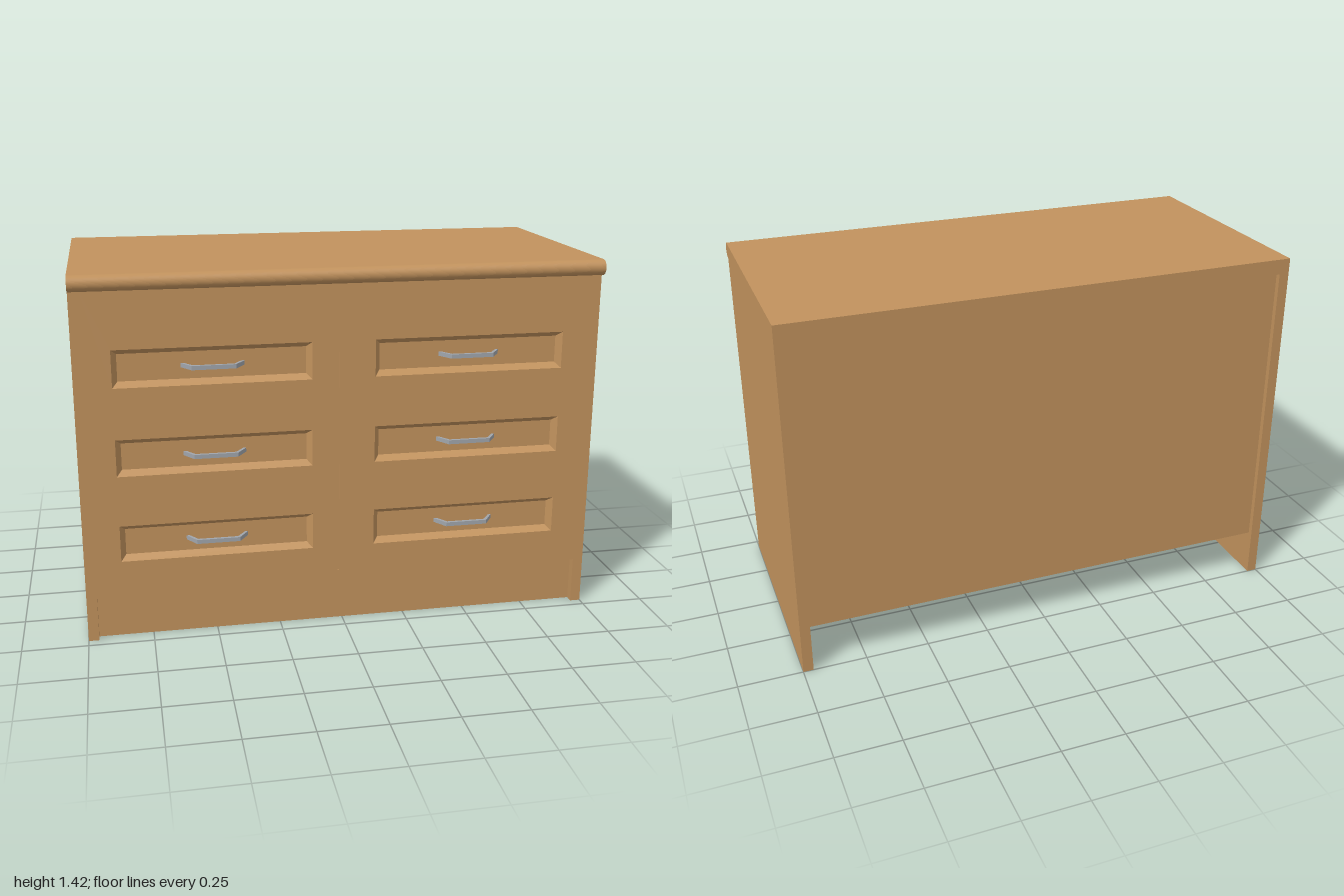
import * as THREE from 'three';

const FRONT = 0.462, BACK = -0.5, TOP = 1.42, SLAB = 0.06, SIDE = 0.04, WELL = 0.025;

export function createModel() {
  const model = new THREE.Group();
  model.name = 'chestOfDrawers';
  const wood = new THREE.MeshStandardMaterial({ color: 0xc1925d, side: THREE.DoubleSide });
  wood.name = 'wood';
  const metal = new THREE.MeshStandardMaterial({ color: 0xa0a5ab });
  metal.name = 'brushedMetal';

  const add = (name, geometry, material = wood, parent = model) => {
    const mesh = new THREE.Mesh(geometry, material);
    mesh.name = name;
    parent.add(mesh);
    return mesh;
  };
  // Box given by its extents
  const box = (name, x0, x1, y0, y1, z0, z1) => {
    const mesh = add(name, new THREE.BoxGeometry(x1 - x0, y1 - y0, z1 - z0));
    mesh.position.set((x0 + x1) / 2, (y0 + y1) / 2, (z0 + z1) / 2);
    return mesh;
  };
  // Hollow board without an underside
  const openBox = (...args) => {
    const g = box(...args).geometry;
    g.setIndex([...g.index.array].filter((_, i) => i < 18 || i >= 24));
    g.clearGroups();
  };
  const rectPath = (x0, x1, y0, y1) => new THREE.Path([
    new THREE.Vector2(x0, y0), new THREE.Vector2(x0, y1),
    new THREE.Vector2(x1, y1), new THREE.Vector2(x1, y0),
  ]);

  // Worktop with a rounded front edge; the profile is drawn in (z, y)
  const r = SLAB / 2;
  const profile = new THREE.Shape();
  profile.moveTo(BACK, TOP - SLAB);
  profile.lineTo(0.5 - r, TOP - SLAB);
  profile.absarc(0.5 - r, TOP - r, r, -Math.PI / 2, Math.PI / 2, false);
  profile.lineTo(BACK, TOP);
  const slab = new THREE.ExtrudeGeometry(profile, { depth: 2, bevelEnabled: false, curveSegments: 12 });
  slab.rotateY(-Math.PI / 2).translate(1, 0, 0);
  add('worktop', slab);

  // Carcass
  const inner = 1 - SIDE;
  openBox('leftSide', inner, 1, 0, TOP - SLAB, BACK, FRONT);
  openBox('rightSide', -1, -inner, 0, TOP - SLAB, BACK, FRONT);
  openBox('plinth', -inner, inner, 0, 0.205, 0.405, 0.43);
  box('backPanel', -inner, inner, 0.185, TOP - SLAB, BACK + 0.02, BACK + 0.035);
  box('floor', -inner, inner, 0.205, 0.22, BACK + 0.035, FRONT - 0.015);
  box('seamBacking', -0.04, 0, 0.215, 1.25, FRONT - 0.012, FRONT - 0.003);

  // Front panel with drawer openings and a shallow central seam
  const panel = new THREE.Shape([
    new THREE.Vector2(-inner, 0.185), new THREE.Vector2(inner, 0.185),
    new THREE.Vector2(inner, TOP - SLAB), new THREE.Vector2(-inner, TOP - SLAB),
  ]);
  panel.holes.push(rectPath(-0.024, -0.019, 0.22, 1.24));

  // Recess with four sloping sides and a flat drawer face
  const wellGeometry = (w, h) => {
    const b = 0.02, pts = [];
    for (const [inset, z] of [[0, 0], [b, -WELL]]) {
      const x = w / 2 - inset, y = h / 2 - inset;
      pts.push([-x, -y, z], [x, -y, z], [x, y, z], [-x, y, z]);
    }
    const quads = [[4, 5, 6, 7]];
    for (let i = 0; i < 4; i++) {
      const j = (i + 1) % 4;
      quads.push([i, j, 4 + j, 4 + i]);
    }
    const verts = quads.flatMap(([a, c, d, e]) => [a, c, d, a, d, e].flatMap((k) => pts[k]));
    const g = new THREE.BufferGeometry();
    g.setAttribute('position', new THREE.Float32BufferAttribute(verts, 3));
    g.computeVertexNormals();
    return g;
  };

  // Bow handle: a flat bar with slanted legs, outlined in (x, z) and extruded upwards
  const bar = 0.016, out = 0.03;
  const outline = new THREE.Shape([
    [-0.118, -WELL], [-0.106, -WELL], [-0.076, out - 0.012], [0.076, out - 0.012],
    [0.106, -WELL], [0.118, -WELL], [0.082, out], [-0.082, out],
  ].map(([x, z]) => new THREE.Vector2(x, -z)));
  const handleGeometry = new THREE.ExtrudeGeometry(outline, { depth: bar, bevelEnabled: false });
  handleGeometry.rotateX(-Math.PI / 2).translate(0, -bar / 2, 0);

  // Drawers: two columns of three
  const w = 0.738, h = 0.143;
  for (const cx of [-0.492, 0.488]) {
    for (const cy of [0.391, 0.731, 1.071]) {
      panel.holes.push(rectPath(cx - w / 2, cx + w / 2, cy - h / 2, cy + h / 2));
      const drawer = new THREE.Group();
      drawer.name = 'drawer';
      drawer.position.set(cx, cy, FRONT);
      add('drawerFace', wellGeometry(w, h), wood, drawer);
      add('handle', handleGeometry, metal, drawer);
      model.add(drawer);
    }
  }
  add('frontPanel', new THREE.ExtrudeGeometry(panel, { depth: 0.015, bevelEnabled: false }))
    .position.z = FRONT - 0.015;
  return model;
}
